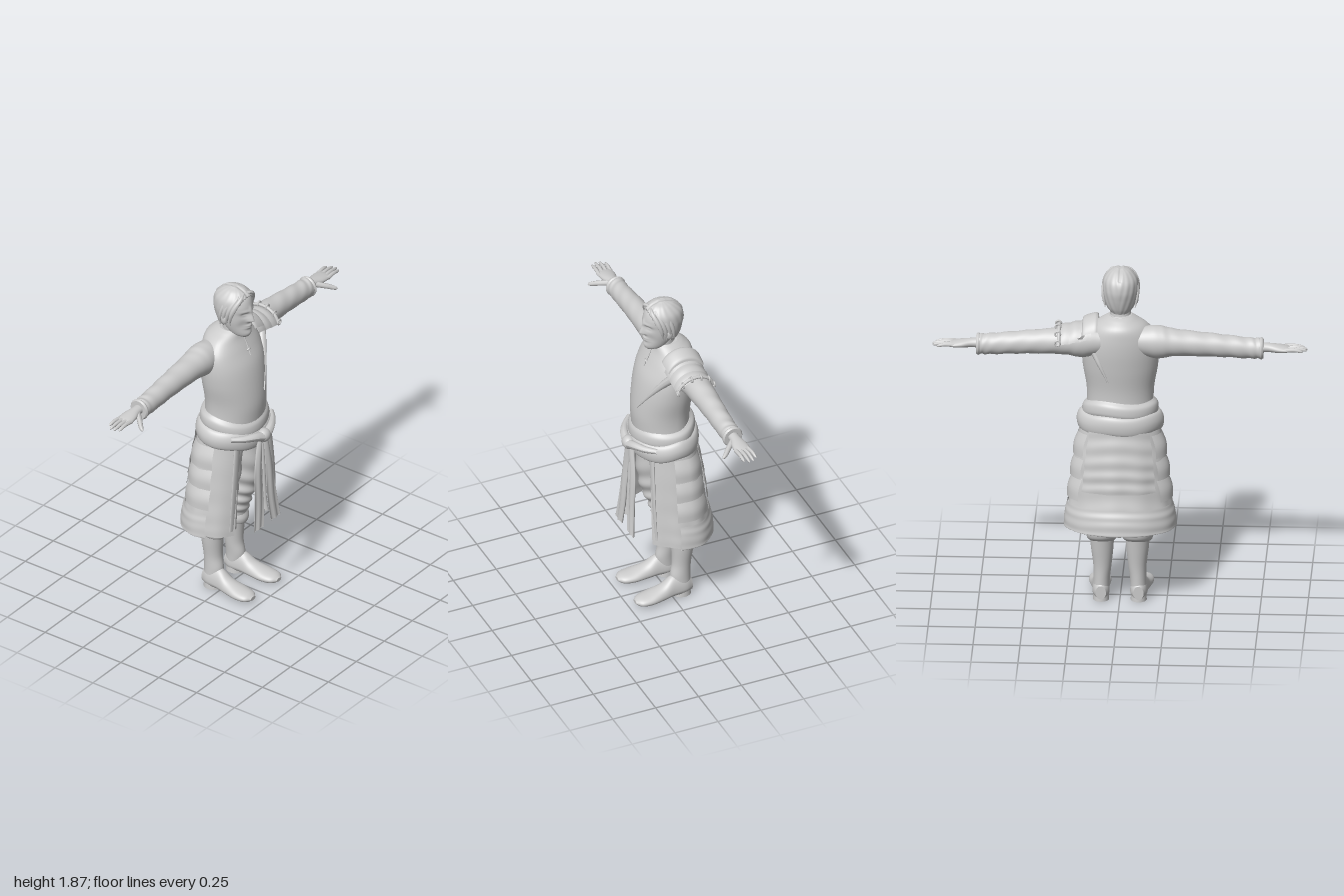
import * as THREE from 'three';

const V = (x, y, z) => new THREE.Vector3(x, y, z);
const solid = new THREE.MeshStandardMaterial({ color: 0xcccccc });
const cloth = new THREE.MeshStandardMaterial({ color: 0xcccccc, side: THREE.DoubleSide });
const gauss = (d, s) => Math.exp(-(d * d) / (2 * s * s));

// Smooth skin through rows [y, cx, cz, rx, rFront, rBack]; angle 0 faces +z, 90 degrees +x.
function loft(rows, { rings = 32, sides = 40, from = 0, to = Math.PI * 2, bend } = {}) {
  const spline = (f) => new THREE.CatmullRomCurve3(rows.map(f), false, 'catmullrom', 0.5);
  const mid = spline((r) => V(r[1], r[0], r[2]));
  const rad = spline((r) => V(r[3], r[4], r[5] ?? r[4]));
  const closed = to - from > 6.28, n = closed ? sides : sides + 1;
  const pos = [], idx = [];
  for (let i = 0; i <= rings; i++) {
    const c = mid.getPoint(i / rings), r = rad.getPoint(i / rings);
    for (let j = 0; j < n; j++) {
      const a = from + ((to - from) * j) / sides, cz = Math.cos(a);
      const p = V(c.x + r.x * Math.sin(a), c.y, c.z + cz * (cz > 0 ? r.y : r.z));
      if (bend) bend(p, a, i / rings, c);
      pos.push(p.x, p.y, p.z);
    }
  }
  for (let i = 0; i < rings; i++) for (let j = 0; j < sides; j++) {
    const a = i * n + j, b = i * n + ((j + 1) % n);
    idx.push(a, b, a + n, b, b + n, a + n);
  }
  if (closed) for (const end of [0, rings]) { // end caps
    const base = pos.length / 3, m = V(0, 0, 0);
    for (let j = 0; j < n; j++) {
      const q = pos.slice((end * n + j) * 3, (end * n + j) * 3 + 3);
      pos.push(...q);
      m.add(V(...q));
    }
    pos.push(m.x / n, m.y / n, m.z / n);
    for (let j = 0; j < n; j++) {
      const a = base + j, b = base + ((j + 1) % n);
      idx.push(...(end ? [a, b, base + n] : [b, a, base + n]));
    }
  }
  const g = new THREE.BufferGeometry();
  g.setAttribute('position', new THREE.Float32BufferAttribute(pos, 3));
  g.setIndex(idx);
  g.computeVertexNormals();
  return g;
}
const alongX = (rows, o) => loft(rows, o).rotateZ(-Math.PI / 2); // section x becomes -y
const alongZ = (rows, o) => loft(rows, o).rotateX(Math.PI / 2); // section z becomes -y

// Round strand through points, its radius a function of 0..1
function strand(points, radius, seg = 16, sides = 10) {
  const curve = new THREE.CatmullRomCurve3(points.map((p) => V(...p)));
  const g = new THREE.TubeGeometry(curve, seg, 1, sides), at = g.attributes.position;
  for (let i = 0; i < at.count; i++) {
    const t = Math.floor(i / (sides + 1)) / seg, c = curve.getPointAt(t);
    const p = V(0, 0, 0).fromBufferAttribute(at, i).sub(c).multiplyScalar(radius(t)).add(c);
    at.setXYZ(i, p.x, p.y, p.z);
  }
  g.computeVertexNormals();
  return g;
}
const rounded = (r) => (t) => r * Math.sqrt(Math.max(0, 1 - Math.pow(t, 8))) * (1 - 0.25 * t);

function mirrored(g) {
  const m = g.clone().scale(-1, 1, 1), ix = m.index.array;
  for (let i = 0; i < ix.length; i += 3) [ix[i], ix[i + 1]] = [ix[i + 1], ix[i]];
  return m;
}

export function createModel() {
  const model = new THREE.Group();
  const add = (name, g, mat = solid) => {
    const m = new THREE.Mesh(g, mat);
    m.name = name;
    model.add(m);
    return m;
  };
  const pair = (name, g, mat) => {
    add(name + 'Left', g, mat);
    add(name + 'Right', mirrored(g), mat);
  };

  // Tunic body, neck and collar
  add('tunic', loft([[0.98, 0, 0, 0.19, 0.16, 0.14], [1.1, 0, 0, 0.178, 0.175, 0.13], [1.2, 0, 0, 0.18, 0.18, 0.13],
    [1.32, 0, 0, 0.2, 0.165, 0.145], [1.42, 0, 0, 0.205, 0.14, 0.155], [1.5, 0, 0, 0.19, 0.1, 0.155],
    [1.56, 0, -0.01, 0.145, 0.078, 0.135], [1.595, 0, -0.01, 0.09, 0.068, 0.1], [1.61, 0, -0.01, 0.062, 0.058, 0.07]], { rings: 48 }));
  add('neck', loft([[1.54, 0, -0.01, 0.06, 0.055], [1.6, 0, 0, 0.056, 0.055], [1.68, 0, 0.01, 0.058, 0.055]]));
  const collar = add('collar', new THREE.TorusGeometry(0.064, 0.009, 10, 40).rotateX(Math.PI / 2 + 0.15));
  collar.position.set(0, 1.595, -0.005);
  add('neckSlit', strand([[0, 1.57, 0.074], [0.003, 1.53, 0.09], [0, 1.47, 0.118]], () => 0.004));
  add('neckTie', strand([[-0.012, 1.5, 0.104], [0, 1.505, 0.108], [0.012, 1.5, 0.104]], () => 0.005));

  // Head with a face shaped by soft bumps
  const face = (p, a, t) => {
    const x = Math.abs(p.x);
    if (Math.cos(a) < 0.2) return;
    p.z -= 0.013 * gauss(x - 0.032, 0.014) * gauss(p.y - 1.728, 0.012); // eye sockets
    p.z += 0.005 * gauss(x - 0.032, 0.009) * gauss(p.y - 1.725, 0.005); // eyelids
    p.z += 0.007 * gauss(x - 0.026, 0.02) * gauss(p.y - 1.748, 0.008); // brow
    const n = THREE.MathUtils.clamp((1.75 - p.y) / 0.06, 0, 1);
    p.z += (p.y > 1.69 ? 0.006 + 0.024 * n : 0.03 * gauss(p.y - 1.69, 0.007)) * gauss(x, 0.008 + 0.004 * n) * (p.y < 1.76 ? 1 : gauss(p.y - 1.76, 0.01));
    p.z += 0.008 * gauss(x, 0.018) * (gauss(p.y - 1.657, 0.005) + gauss(p.y - 1.644, 0.005)); // lips
    p.z += 0.006 * gauss(x, 0.02) * gauss(p.y - 1.608, 0.012); // chin
    p.z -= 0.006 * gauss(x - 0.045, 0.014) * gauss(p.y - 1.66, 0.02); // cheeks
  };
  add('head', loft([[1.582, 0, 0.065, 0.026, 0.036], [1.598, 0, 0.045, 0.047, 0.064, 0.05], [1.635, 0, 0.03, 0.064, 0.081, 0.07],
    [1.68, 0, 0.025, 0.075, 0.088, 0.09], [1.73, 0, 0.02, 0.08, 0.096, 0.1], [1.78, 0, 0.02, 0.082, 0.094, 0.105],
    [1.825, 0, 0.015, 0.07, 0.078, 0.09], [1.852, 0, 0.015, 0.03, 0.03, 0.04]], { rings: 90, sides: 96, bend: face }));
  pair('ear', new THREE.SphereGeometry(1, 16, 12).scale(0.013, 0.03, 0.02).translate(0.084, 1.695, 0.005));

  // Hair shell, tucked under the skin where the face shows
  add('hair', loft([[1.628, 0, -0.01, 0.05, 0.03, 0.06], [1.66, 0, 0, 0.075, 0.04, 0.085], [1.71, 0, 0.01, 0.091, 0.085, 0.11],
    [1.76, 0, 0.015, 0.096, 0.1, 0.123], [1.81, 0, 0.015, 0.088, 0.096, 0.112], [1.85, 0, 0.015, 0.056, 0.062, 0.072],
    [1.868, 0, 0.015, 0.018, 0.02, 0.024]], {
    rings: 60, sides: 96, bend: (p, a, t, c) => {
      const off = Math.min(a, Math.PI * 2 - a), open = p.y < 1.7 ? 1.75 : 1.1 * Math.sqrt(Math.max(0, 1 - Math.pow((p.y - 1.7) / 0.125, 2)));
      const k = off < open ? 0.84 : 1 + 0.012 * Math.sin(off * 16 + p.y * 40);
      p.x = c.x + (p.x - c.x) * k;
      p.z = c.z + (p.z - c.z) * k;
      p.y -= 0.006 * gauss(p.x, 0.006) * (t > 0.7 ? 1 : 0);
    },
  }));
  for (let i = 0; i < 4; i++) { // locks swept from the parting to the temples
    const d = i * 0.022;
    pair('hairLock' + i, strand([[0.006, 1.842 + i * 0.006, 0.078 - d], [0.045, 1.83, 0.088 - d], [0.079, 1.785, 0.072 - d],
      [0.09, 1.725, 0.052 - d], [0.08, 1.665 - i * 0.004, 0.04 - d]], (t) => 0.003 + 0.011 * Math.sin(Math.PI * Math.min(1, t + 0.05)), 24));
  }

  // Sleeves and hands
  pair('sleeve', alongX([[0.1, -1.48, -0.06, 0.075, 0.075], [0.2, -1.475, -0.062, 0.09, 0.082], [0.3, -1.473, -0.063, 0.073, 0.073],
    [0.5, -1.462, -0.062, 0.063, 0.06], [0.68, -1.448, -0.06, 0.057, 0.053], [0.755, -1.446, -0.06, 0.055, 0.052]], {
    rings: 60, bend: (p, a, t) => { p.x += 0.0025 * Math.sin(t * 55 + a * 2) * t; },
  }));
  pair('sleeveHem', alongX([[0.742, -1.446, -0.06, 0.054, 0.05], [0.752, -1.446, -0.06, 0.06, 0.057], [0.763, -1.446, -0.06, 0.054, 0.05]], { rings: 8 }));
  pair('palm', alongX([[0.74, -1.452, -0.06, 0.027, 0.03], [0.79, -1.452, -0.06, 0.024, 0.03], [0.84, -1.448, -0.06, 0.022, 0.042],
    [0.885, -1.446, -0.06, 0.016, 0.044], [0.91, -1.446, -0.06, 0.008, 0.036]], { rings: 20, sides: 24 }));
  [0.975, 0.997, 1, 0.985].forEach((tip, i) => {
    const z = -0.095 + i * 0.0235;
    pair('finger' + i, strand([[0.875, 1.447, z * 0.95], [0.935, 1.45, z], [tip, 1.441, z * 1.03]], rounded(0.0115)));
  });
  pair('thumb', strand([[0.79, 1.448, -0.045], [0.83, 1.432, 0], [0.855, 1.42, 0.026], [0.873, 1.41, 0.05]], rounded(0.016)));

  // Trousers, knee cuffs and boots
  pair('trouserLeg', loft([[0.36, 0.095, -0.065, 0.062, 0.068], [0.42, 0.095, -0.065, 0.078, 0.09], [0.5, 0.093, -0.05, 0.076, 0.1],
    [0.6, 0.104, -0.03, 0.088, 0.115], [0.75, 0.1, -0.01, 0.092, 0.12], [0.98, 0.088, 0, 0.088, 0.125]], {
    rings: 60, bend: (p, a, t) => {
      const k = 0.006 * Math.sin(t * 42 + Math.sin(a) * 2) * Math.sin(Math.PI * t);
      p.x += k * Math.sin(a);
      p.z += k * Math.cos(a);
    },
  }));
  pair('kneeCuff', loft([[0.335, 0.095, -0.075, 0.062, 0.074], [0.35, 0.095, -0.075, 0.078, 0.09], [0.38, 0.095, -0.075, 0.082, 0.095],
    [0.41, 0.095, -0.07, 0.065, 0.08]], { rings: 14, bend: (p) => { p.y -= (p.z + 0.06) * 0.3; } }));
  pair('bootShaft', loft([[0.04, 0.1, -0.06, 0.042, 0.048], [0.12, 0.097, -0.052, 0.044, 0.056], [0.2, 0.093, -0.06, 0.049, 0.052],
    [0.3, 0.094, -0.065, 0.06, 0.06], [0.39, 0.095, -0.068, 0.066, 0.07]]));
  pair('bootFoot', alongZ([[-0.112, 0.1, -0.05, 0.028, 0.035, 0.04], [-0.07, 0.1, -0.05, 0.045, 0.045, 0.08], [0, 0.104, -0.045, 0.046, 0.036, 0.085],
    [0.06, 0.109, -0.038, 0.052, 0.032, 0.052], [0.13, 0.113, -0.034, 0.06, 0.03, 0.034], [0.19, 0.116, -0.032, 0.05, 0.024, 0.024],
    [0.22, 0.116, -0.032, 0.02, 0.01, 0.01]], { bend: (p) => { p.z = Math.min(p.z, -0.012); } }));
  pair('bootHeel', new THREE.CylinderGeometry(0.041, 0.043, 0.035, 28).scale(1, 1, 1.15).translate(0.1, 0.0175, -0.06));

  // Wrapped skirt, open at the front
  const skirt = [[0.43, 0, -0.04, 0.29, 0.235, 0.2], [0.52, 0, -0.04, 0.28, 0.235, 0.185], [0.65, 0, -0.04, 0.262, 0.235, 0.162],
    [0.8, 0, -0.04, 0.245, 0.23, 0.145], [0.98, 0, -0.03, 0.215, 0.215, 0.125]];
  const folds = (amount) => (p, a, t) => {
    const k = 1 + amount * (Math.sin(a * 11) * (1 - t) + 0.9 * Math.sin(t * 26 + Math.cos(a * 3)) * gauss(a - Math.PI, 1.1));
    p.x *= k;
    p.z = (p.z + 0.04) * k - 0.04;
  };
  const wrap = (rows, gap, grow, amount) => loft(rows.map(([y, x, z, ...r]) => [y, x, z, ...r.map((v) => v + grow)]),
    { from: gap, to: Math.PI * 2 - gap, rings: 50, sides: 96, bend: folds(amount) });
  add('skirt', wrap(skirt, 0.66, 0, 0.013), cloth);
  add('skirtHem', wrap([[0.425, 0, -0.04, 0.285, 0.232, 0.193], [0.43, 0, -0.04, 0.292, 0.237, 0.202], [0.5, 0, -0.04, 0.286, 0.236, 0.194], [0.56, 0, -0.04, 0.272, 0.234, 0.174]], 1.3, 0.008, 0.006), cloth);
  add('skirtBackPanel', wrap(skirt.slice(2), 2.35, 0.012, 0.016), cloth);
  for (const s of [1, -1]) for (let i = 0; i < 3; i++) { // stacked side plates
    const y = 0.6 + i * 0.12, a = s > 0 ? 1.25 : Math.PI * 2 - 2.25, r = 0.272 - i * 0.016;
    add('sidePlate', loft([[y - 0.01, 0, -0.04, r + 0.01, 0.245, r - 0.09], [y + 0.05, 0, -0.04, r + 0.006, 0.243, r - 0.1], [y + 0.115, 0, -0.04, r - 0.02, 0.23, r - 0.12]],
      { from: a, to: a + 1, rings: 8, sides: 20 }), cloth);
  }

  // Waist sash, knot and hanging tails
  add('sashUpper', loft([[1.035, 0, 0, 0.19, 0.175, 0.15], [1.06, 0, 0, 0.203, 0.188, 0.158], [1.1, 0, 0, 0.2, 0.185, 0.152], [1.125, 0, 0, 0.18, 0.17, 0.13]],
    { rings: 16, sides: 64, bend: (p, a) => { p.y -= p.z * 0.14 - 0.008 * Math.sin(a * 3); } }));
  add('sashLower', loft([[0.955, 0, 0, 0.2, 0.17, 0.15], [0.975, 0, 0, 0.226, 0.192, 0.17], [1.02, 0, 0, 0.232, 0.2, 0.175], [1.06, 0, 0, 0.215, 0.19, 0.165], [1.075, 0, 0, 0.18, 0.165, 0.14]],
    { rings: 24, sides: 72, bend: (p, a) => { p.y -= 0.03 * Math.max(0, Math.cos(a)) - 0.004 * Math.sin(a * 5); } }));
  add('sashKnot', new THREE.SphereGeometry(1, 28, 20).scale(0.042, 0.038, 0.036).translate(0, 0.998, 0.205));
  pair('knotLoop', strand([[0.02, 1, 0.21], [0.07, 1.015, 0.198], [0.13, 1.02, 0.165], [0.18, 1.025, 0.12]], (t) => 0.026 - 0.012 * t));
  const tail = (x0, x1, w0, w1, bottom, z) => loft([[bottom, x1, z + 0.03, w1, 0.005], [0.6, x0 * 0.35 + x1 * 0.65, z + 0.02, w1 * 0.95, 0.006],
    [0.8, (x0 + x1) / 2, z + 0.01, (w0 + w1) / 2, 0.008], [0.99, x0, z, w0, 0.012]],
  { sides: 24, bend: (p, a, t, c) => { p.z += 0.006 * Math.cos((p.x - c.x) * 130) * (1 - t * 0.5); } });
  pair('sashTail', tail(0.022, 0.074, 0.016, 0.042, 0.45, 0.195));
  pair('innerTail', tail(0.01, 0.018, 0.012, 0.016, 0.52, 0.18));
  pair('frontStrip', loft([[0.46, 0.175, 0.13, 0.03, 0.008], [0.7, 0.165, 0.135, 0.026, 0.008], [0.98, 0.135, 0.13, 0.024, 0.01]], { sides: 20 }));

  // Shoulder guard on the left, with straps across chest and back
  const top = -Math.PI / 2;
  const plate = (rows, half) => alongX(rows, { from: top - half, to: top + half, rings: 12, sides: 32 });
  for (let i = 0; i < 3; i++) {
    const x = 0.15 + i * 0.055, y = 1.482 - i * 0.012;
    add('shoulderPlate' + i, plate([[x, -y, -0.04, 0.1, 0.108], [x + 0.035, -y + 0.004, -0.04, 0.103, 0.11], [x + 0.068, -y + 0.012, -0.04, 0.096, 0.108]], 1.3), cloth);
  }
  add('shoulderFlap', plate([[0.115, -1.52, -0.04, 0.095, 0.11], [0.135, -1.515, -0.04, 0.105, 0.115], [0.19, -1.5, -0.04, 0.1, 0.112], [0.2, -1.49, -0.04, 0.09, 0.105]], 1.2), cloth);
  const rim = (a) => [0.322, 1.456 + 0.1 * Math.cos(a), -0.04 + 0.11 * Math.sin(a)];
  add('shoulderRim', strand([-1.3, -0.8, -0.3, 0.3, 0.8, 1.3].map(rim), () => 0.009, 24));
  for (let i = 0; i < 6; i++) {
    const stud = add('shoulderRing' + i, new THREE.TorusGeometry(0.014, 0.005, 8, 16));
    stud.position.set(...rim(-1.25 + i * 0.5)).add(V(0.006, 0, 0));
  }
  const taper = (t) => 0.003 + 0.025 * (1 - t);
  add('chestStrap', strand([[0.225, 1.52, 0.02], [0.17, 1.45, 0.07], [0.12, 1.37, 0.118], [0.045, 1.245, 0.176]], taper, 24));
  add('backStrap', strand([[0.21, 1.53, -0.12], [0.155, 1.46, -0.1], [0.105, 1.36, -0.125], [0.06, 1.26, -0.133]], taper, 24));
  return model;
}
